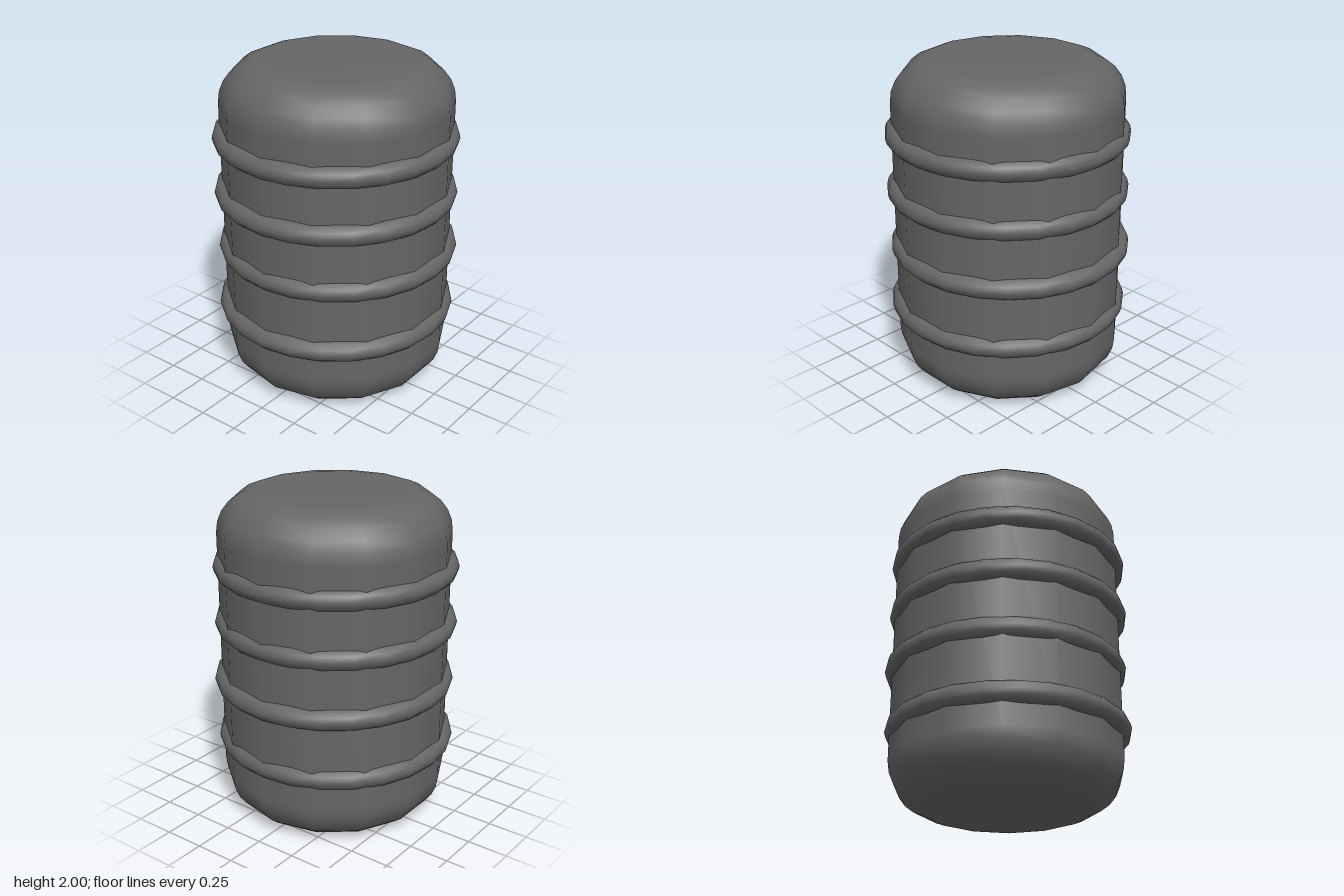
import * as THREE from 'three';

export function createModel() {
  const group = new THREE.Group();
  const material = new THREE.MeshStandardMaterial({ color: 0x666666 });

  // Barrel body: 14-sided, flat ends with rounded rims
  const radius = 0.693, height = 2, rim = 0.26, steps = 6;
  const lower = [];
  for (let i = 0; i <= steps; i++) {
    const a = (i / steps) * Math.PI / 2;
    lower.push(new THREE.Vector2(radius - rim + rim * Math.sin(a), rim - rim * Math.cos(a)));
  }
  const upper = lower.map((p) => new THREE.Vector2(p.x, height - p.y)).reverse();
  const profile = [new THREE.Vector2(0, 0), ...lower, ...upper, new THREE.Vector2(0, height)];
  const body = new THREE.Mesh(new THREE.LatheGeometry(profile, 14, Math.PI / 2), material);
  body.name = 'barrelBody';
  group.add(body);

  // Four hoops, each slightly off centre: [x, y]
  const hoopGeometry = new THREE.TorusGeometry(0.664, 0.065, 12, 24).rotateX(Math.PI / 2);
  [[-0.012, 0.459], [0.008, 0.846], [-0.012, 1.206], [-0.012, 1.552]].forEach(([x, y], i) => {
    const hoop = new THREE.Mesh(hoopGeometry, material);
    hoop.name = `hoop${i + 1}`;
    hoop.position.set(x, y, 0);
    group.add(hoop);
  });

  return group;
}
